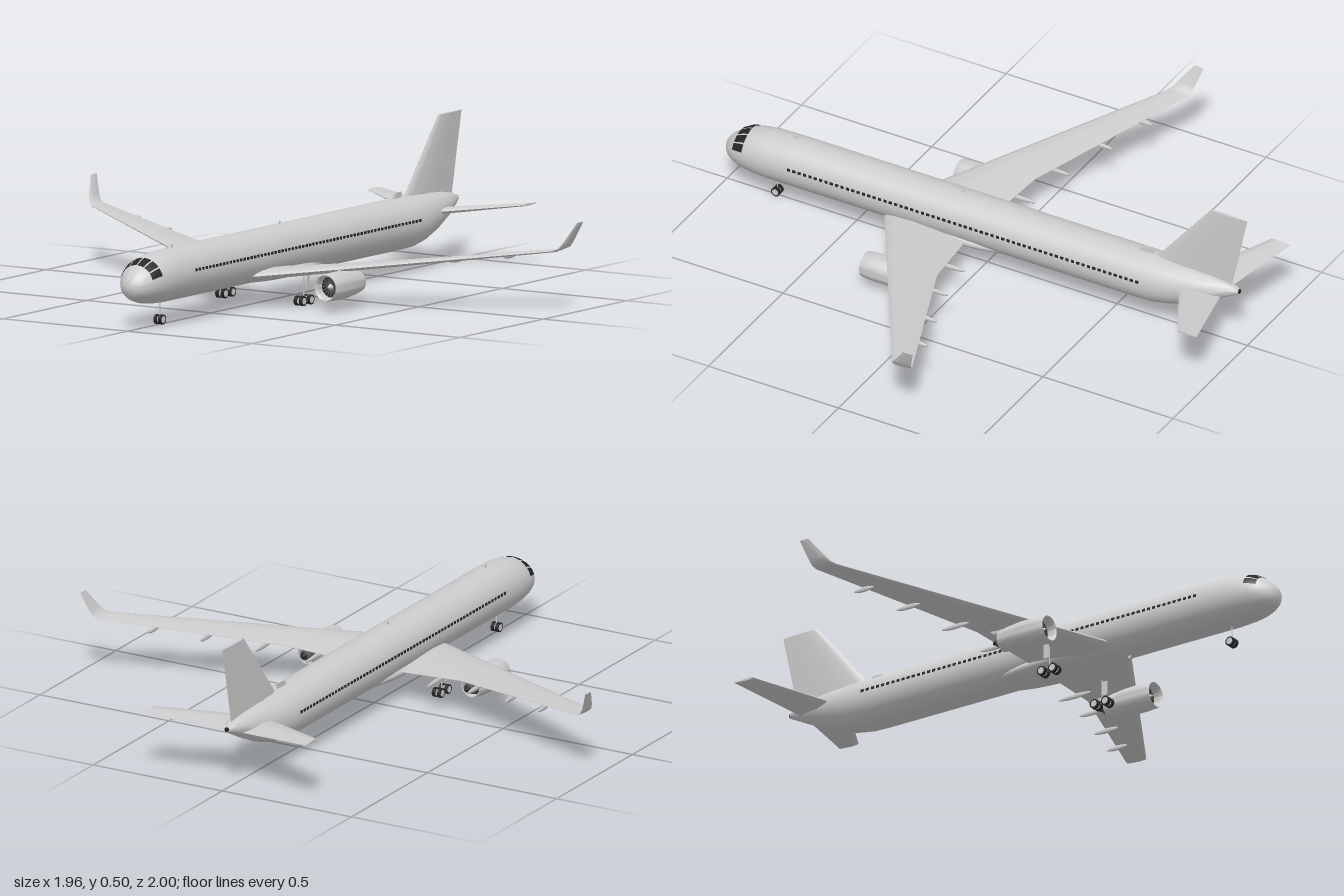
import * as THREE from 'three';
import { toCreasedNormals } from 'three/addons/utils/BufferGeometryUtils.js';

const paint = (name, color) => Object.assign(new THREE.MeshStandardMaterial({ color }), { name });

// Closed skin over a list of equal-length rings of points, facing outward
function loft(rings, crease = 0.8) {
  const n = rings[0].length, pos = [], idx = [];
  rings.forEach(r => r.forEach(p => pos.push(...p)));
  for (let i = 0; i < rings.length - 1; i++)
    for (let j = 0; j < n; j++) {
      const a = i * n + j, b = i * n + (j + 1) % n;
      idx.push(a, b, a + n, b, b + n, a + n);
    }
  for (const [r, flip] of [[0, true], [rings.length - 1, false]]) {
    const c = pos.length / 3;
    pos.push(...[0, 1, 2].map(k => rings[r].reduce((s, p) => s + p[k], 0) / n));
    for (let j = 0; j < n; j++) {
      const a = r * n + j, b = r * n + (j + 1) % n;
      idx.push(...(flip ? [c, b, a] : [c, a, b]));
    }
  }
  // Reverse the faces when the enclosed volume comes out negative
  const v = i => new THREE.Vector3().fromArray(pos, i * 3);
  let volume = 0;
  for (let i = 0; i < idx.length; i += 3) volume += v(idx[i]).dot(v(idx[i + 1]).cross(v(idx[i + 2])));
  if (volume < 0) idx.reverse();
  const g = new THREE.BufferGeometry();
  g.setAttribute('position', new THREE.Float32BufferAttribute(pos, 3));
  g.setIndex(idx);
  return toCreasedNormals(g, crease);
}

// Aerofoil ring: x, y, leading z, trailing z, half thickness, thickness direction
const HALF = [[0.03, 0.45], [0.12, 0.8], [0.35, 1], [0.65, 0.65]];
const OUTLINE = [[0, 0], ...HALF, [1, 0.06], [1, -0.06], ...HALF.map(([t, h]) => [t, -h]).reverse()];
const foil = ([x, y, le, te, h, nx = 0, ny = 1], s = 1) =>
  OUTLINE.map(([t, k]) => [s * (x + nx * k * h), y + ny * k * h, le + (te - le) * t]);
const blade = (sections, s = 1) => loft(sections.map(q => foil(q, s)));

// Fuselage stations: z, half width, bottom y, top y
const HULL = [
  [0.999, 0.002, 0.144, 0.148], [0.99, 0.027, 0.118, 0.172], [0.975, 0.045, 0.105, 0.19],
  [0.95, 0.063, 0.093, 0.211], [0.92, 0.074, 0.084, 0.228], [0.88, 0.081, 0.078, 0.24],
  [0.82, 0.086, 0.075, 0.248], [0.74, 0.087, 0.075, 0.25], [-0.6, 0.087, 0.075, 0.25],
  [-0.66, 0.0855, 0.077, 0.25], [-0.72, 0.079, 0.087, 0.249], [-0.79, 0.068, 0.11, 0.247],
  [-0.87, 0.05, 0.147, 0.24], [-0.93, 0.028, 0.178, 0.23], [-0.968, 0.011, 0.198, 0.217]];

// Point on the fuselage, angle measured from the top, pushed out by "off"
function hullPoint(z, angle, off = 0) {
  let i = 0;
  while (i < HULL.length - 2 && HULL[i + 1][0] > z) i++;
  const a = HULL[i], b = HULL[i + 1], t = (z - a[0]) / (b[0] - a[0]);
  const [, w, lo, hi] = a.map((q, k) => q + (b[k] - q) * t);
  return [Math.sin(angle) * (w + off), (lo + hi) / 2 + Math.cos(angle) * ((hi - lo) / 2 + off), z];
}

export function createModel() {
  const grey = paint('light grey', 0xcccccc);
  const black = paint('near black', 0x262626);
  const metal = paint('dark metal', 0x5c5c5c);
  black.side = THREE.DoubleSide;

  const model = new THREE.Group();
  model.name = 'airliner';
  const add = (name, geo, mat, [x, y, z] = [0, 0, 0], parent = model) => {
    const m = new THREE.Mesh(geo, mat);
    m.name = name;
    m.position.set(x, y, z);
    parent.add(m);
    return m;
  };
  const disc = (r1, r2, len, axis, seg = 24) => {
    const g = new THREE.CylinderGeometry(r1, r2, len, seg);
    return axis === 'x' ? g.rotateZ(Math.PI / 2) : g.rotateX(Math.PI / 2);
  };

  // Fuselage and belly
  const SEG = 40;
  add('fuselage', loft(HULL.map(q =>
    Array.from({ length: SEG }, (_, j) => hullPoint(q[0], j / SEG * Math.PI * 2))), 1), grey);
  add('bellyFairing', new THREE.SphereGeometry(1, 32, 20).scale(0.084, 0.034, 0.29), grey, [0, 0.104, 0.12]);
  add('tailExhaust', disc(0.008, 0.008, 0.008, 'z', 16), black, [0, 0.208, -0.968]);

  // Cockpit windows: six curved panes lying on the nose
  const pitch = 25 * Math.PI / 180;
  for (let k = 0; k < 6; k++) {
    const a0 = (k - 3) * pitch + 0.035, rows = [0.945, 0.92, 0.902], cols = 4, pos = [], idx = [];
    rows.forEach(z => {
      for (let c = 0; c <= cols; c++) pos.push(...hullPoint(z, a0 + (pitch - 0.07) * c / cols, 0.002));
    });
    for (let r = 0; r < 2; r++)
      for (let c = 0; c < cols; c++) {
        const a = r * (cols + 1) + c, b = a + cols + 1;
        idx.push(a, a + 1, b, a + 1, b + 1, b);
      }
    const g = new THREE.BufferGeometry();
    g.setAttribute('position', new THREE.Float32BufferAttribute(pos, 3));
    g.setIndex(idx.reverse());
    g.computeVertexNormals();
    add('cockpitWindow', g, black);
  }

  // Fin and aerials
  add('fin', blade([[0, 0.215, -0.632, -0.938, 0.014, 1, 0], [0, 0.255, -0.662, -0.947, 0.013, 1, 0],
    [0, 0.5, -0.86, -1, 0.006, 1, 0]]), grey);
  add('dorsalAerial', blade([[0, 0.245, -0.568, -0.642, 0.004, 1, 0],
    [0, 0.268, -0.597, -0.642, 0.003, 1, 0]]), grey);
  for (const [z, y0, y1] of [[0.745, 0.245, 0.26], [0.1, 0.245, 0.26], [0.405, 0.08, 0.066]])
    add('smallAerial', blade([[0, y0, z, z - 0.018, 0.002, 1, 0],
      [0, y1, z - 0.006, z - 0.016, 0.0012, 1, 0]]), grey);

  // A wheel with a pale hub on both faces
  const wheel = (x, z) => {
    add('tyre', disc(0.0165, 0.0165, 0.011, 'x'), black, [x, 0.0165, z]);
    add('wheelHub', disc(0.0115, 0.0115, 0.0125, 'x'), grey, [x, 0.0165, z]);
  };

  const nacelle = [[0.036, 0.25], [0.037, 0.275], [0.04, 0.285], [0.043, 0.287], [0.0455, 0.278],
    [0.0475, 0.24], [0.047, 0.18], [0.042, 0.13], [0.036, 0.097], [0.033, 0.097], [0.033, 0.13]]
    .map(([r, z]) => new THREE.Vector2(r, z));

  for (const s of [1, -1]) {
    const side = s > 0 ? 'left' : 'right';

    // Wing, curved up into the winglet
    add(side + 'Wing', blade([[0, 0.104, 0.395, 0.048, 0.021], [0.087, 0.111, 0.345, 0.04, 0.019],
      [0.33, 0.137, 0.198, 0.004, 0.012], [0.925, 0.202, -0.163, -0.241, 0.005]], s), grey);
    add(side + 'Winglet', blade([[0.925, 0.202, -0.163, -0.241, 0.005], [0.943, 0.21, -0.174, -0.247, 0.004, -0.6, 0.8],
      [0.955, 0.232, -0.19, -0.253, 0.003, -0.95, 0.3], [0.978, 0.294, -0.236, -0.273, 0.002, -0.95, 0.3]], s), grey);
    add(side + 'Tailplane', blade([[0, 0.181, -0.74, -0.905, 0.013],
      [0.315, 0.214, -0.91, -0.985, 0.004]], s), grey);

    // Flap track fairings: x, rear end z, half length
    for (const [x, tip, half] of [[0.235, -0.05, 0.065], [0.41, -0.085, 0.055], [0.59, -0.145, 0.048], [0.755, -0.205, 0.04]])
      add(side + 'FlapFairing', new THREE.SphereGeometry(1, 12, 10).scale(0.005, 0.009, half),
        grey, [s * x, 0.089 + x * 0.112, tip + half]);

    // Engine: shell, fan, spinner, hot nozzle, pylon
    const engine = new THREE.Group();
    engine.name = side + 'Engine';
    engine.position.set(s * 0.317, 0.083, 0);
    model.add(engine);
    // Reversed so the lathe faces outward once it is turned to lie along z
    const shell = new THREE.LatheGeometry(nacelle.slice().reverse(), 36).rotateX(Math.PI / 2);
    add('nacelle', toCreasedNormals(shell, 0.9), grey, [0, 0, 0], engine);
    add('fanDisc', disc(0.0365, 0.0365, 0.004, 'z', 36), black, [0, 0, 0.252], engine);
    for (let i = 0; i < 16; i++) {
      const b = add('fanBlade', new THREE.BoxGeometry(0.004, 0.026, 0.002).translate(0, 0.022, 0),
        metal, [0, 0, 0.255], engine);
      b.rotation.z = i / 16 * Math.PI * 2;
    }
    add('spinner', disc(0.001, 0.011, 0.02, 'z', 20), grey, [0, 0, 0.264], engine);
    add('nozzle', disc(0.033, 0.016, 0.045, 'z'), metal, [0, 0, 0.1], engine).rotation.y = 0;
    add('exhaustCone', disc(0.013, 0.004, 0.018, 'z', 16), black, [0, 0, 0.07], engine);
    add('pylon', blade([[0, 0.035, 0.25, 0.06, 0.007, 1, 0], [0, 0.055, 0.2, 0.04, 0.006, 1, 0]]),
      grey, [0, 0, 0], engine);

    // Main gear: four wheels, bogie beam and slim leg
    for (const z of [0.2, 0.155]) {
      wheel(s * 0.147, z);
      wheel(s * 0.168, z);
      add('axle', disc(0.003, 0.003, 0.022, 'x', 8), metal, [s * 0.157, 0.0165, z]);
    }
    add('bogieBeam', new THREE.BoxGeometry(0.005, 0.006, 0.045), metal, [s * 0.157, 0.0165, 0.178]);
    add('mainGearLeg', new THREE.CylinderGeometry(0.002, 0.002, 0.1, 8), grey, [s * 0.157, 0.066, 0.178]);
    add('mainGearDoor', new THREE.BoxGeometry(0.002, 0.06, 0.02), grey, [s * 0.175, 0.085, 0.178]);

    // Nose wheel
    wheel(s * 0.009, 0.807);

    // Cabin windows
    for (let i = 0; i < 66; i++)
      add(side + 'CabinWindow', new THREE.BoxGeometry(0.004, 0.009, 0.011), black, [s * 0.0855, 0.179, 0.715 - i * 0.0206]);
  }
  add('noseGearLeg', new THREE.CylinderGeometry(0.002, 0.002, 0.07, 8), grey, [0, 0.051, 0.807]);
  return model;
}
